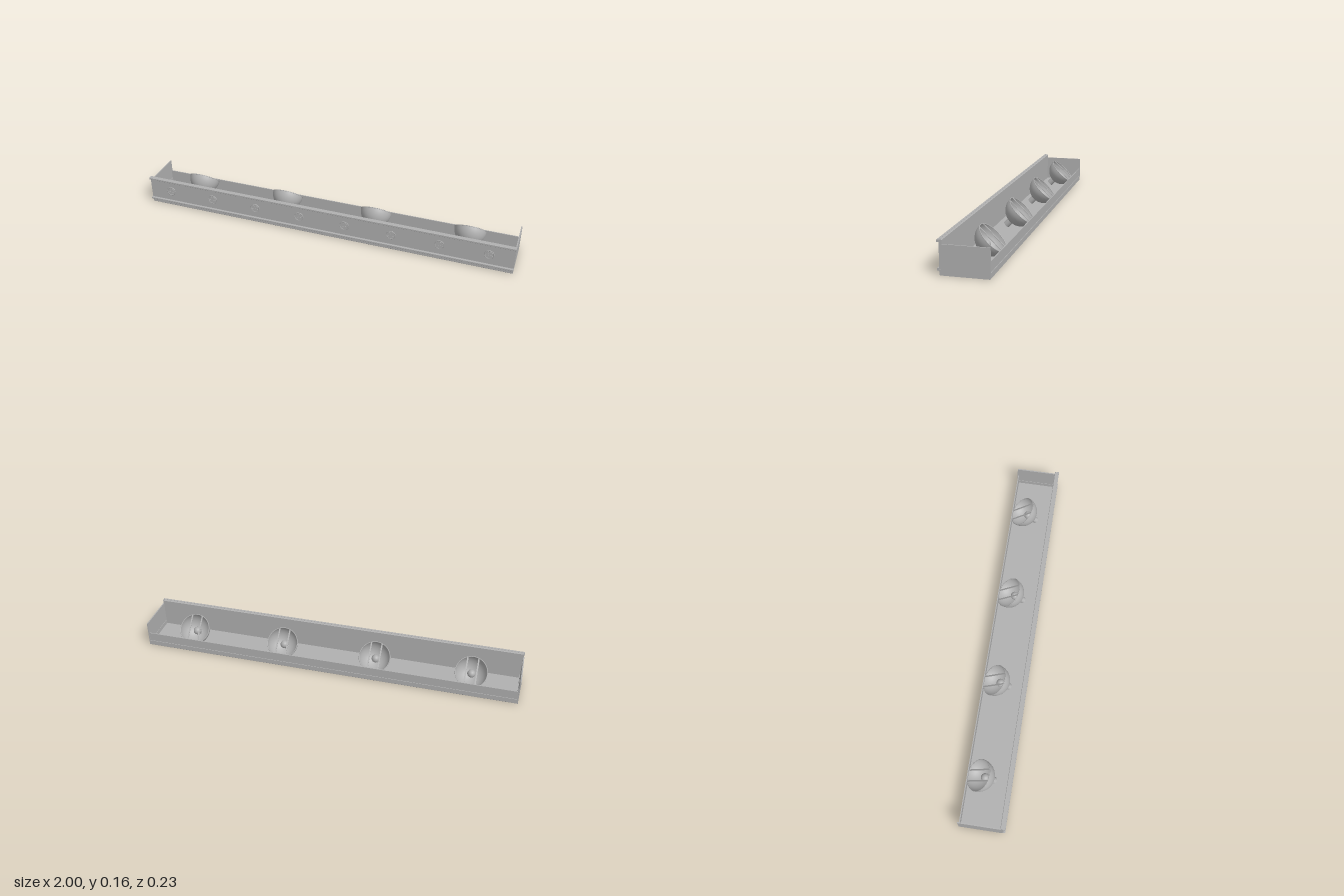
import * as THREE from 'three';

const metal = new THREE.MeshStandardMaterial({ color: 0xb0b0b0 });
metal.name = 'grey metal';
const sheet = new THREE.MeshStandardMaterial({ color: 0xb0b0b0, side: THREE.DoubleSide });
sheet.name = 'grey sheet metal';

function add(parent, name, geometry, x = 0, y = 0, z = 0, material = metal) {
  const mesh = new THREE.Mesh(geometry, material);
  mesh.name = name;
  mesh.position.set(x, y, z);
  parent.add(mesh);
  return mesh;
}

// Extrudes a closed (z, y) profile along x, centred on x = 0
function extrudeAlongX(points, length) {
  const shape = new THREE.Shape(points.map(([z, y]) => new THREE.Vector2(-z, y)));
  const geometry = new THREE.ExtrudeGeometry(shape, { depth: length, bevelEnabled: false });
  return geometry.translate(0, 0, -length / 2).rotateY(Math.PI / 2);
}

// Screw head: a domed rim around four raised quarters that leave a cross slot
function makeScrew() {
  const screw = new THREE.Group();
  screw.name = 'screw';
  const disc = add(screw, 'screwDisc', new THREE.CylinderGeometry(0.025, 0.025, 0.004, 24));
  disc.rotation.x = Math.PI / 2;
  add(screw, 'screwRim', new THREE.TorusGeometry(0.0235, 0.002, 6, 24), 0, 0, 0.002);
  for (let i = 0; i < 4; i++) {
    const middle = (i + 0.5) * Math.PI / 2;
    const wedge = new THREE.Shape([new THREE.Vector2(0, 0)]);
    for (let k = 0; k <= 6; k++) {
      const a = middle - 0.7 + 1.4 * k / 6;
      wedge.lineTo(0.015 * Math.cos(a), 0.015 * Math.sin(a));
    }
    const geometry = new THREE.ExtrudeGeometry(wedge, { depth: 0.003, bevelEnabled: false });
    add(screw, 'screwQuarter', geometry, Math.cos(middle) * 0.004, Math.sin(middle) * 0.004, 0.001);
  }
  return screw;
}

// Lamp: its local +y axis points out of the reflector opening
function makeLamp() {
  const lamp = new THREE.Group();
  lamp.name = 'lamp';
  const R = 0.082;
  const profile = [];
  for (let i = 0; i <= 12; i++) {
    const a = i / 12 * Math.PI / 2;
    profile.push(new THREE.Vector2(R * Math.sin(a), -R * Math.cos(a)));
  }
  add(lamp, 'reflector', new THREE.LatheGeometry(profile, 32), 0, 0, 0, sheet);
  const rim = add(lamp, 'reflectorRim', new THREE.TorusGeometry(R - 0.001, 0.002, 8, 40));
  rim.rotation.x = Math.PI / 2;
  add(lamp, 'socket', new THREE.CylinderGeometry(0.017, 0.017, 0.034, 20), 0, -0.095, 0);
  add(lamp, 'bulbNeck', new THREE.CylinderGeometry(0.012, 0.012, 0.03, 16), 0, -0.066, 0);
  add(lamp, 'bulb', new THREE.SphereGeometry(0.021, 20, 14), 0, -0.045, 0);

  // Flat guard bars across the opening
  for (const x of [-0.028, 0.028]) {
    const length = 2 * Math.sqrt(R * R - x * x);
    add(lamp, 'guardBar', new THREE.BoxGeometry(0.007, 0.003, length - 0.004), x, 0, 0);
  }
  return lamp;
}

export function createModel() {
  const model = new THREE.Group();
  model.name = 'footlightTrough';

  // Bent trough: front panel, floor and low back lip
  add(model, 'trough', extrudeAlongX([
    [0.105, 0], [0.108, 0.003], [0.108, 0.155], [0.106, 0.157], [0.097, 0.157],
    [0.095, 0.155], [0.095, 0.005],
    [-0.109, 0.005], [-0.109, 0.075], [-0.114, 0.075], [-0.114, 0.028],
    [-0.117, 0.028], [-0.117, 0.003], [-0.114, 0],
  ], 1.996));

  // Rounded rails along the top and bottom of the front panel
  for (const y of [0.152, 0.027]) {
    add(model, 'rail', extrudeAlongX([
      [0.106, y - 0.006], [0.116, y - 0.006], [0.118, y - 0.004],
      [0.118, y + 0.004], [0.116, y + 0.006], [0.106, y + 0.006],
    ], 2));
  }

  // End plates
  for (const side of [-1, 1]) {
    add(model, 'endPlate', new THREE.BoxGeometry(0.006, 0.135, 0.218), side * 0.997, 0.0705, -0.008);
    add(model, 'endFoot', new THREE.BoxGeometry(0.008, 0.026, 0.222), side * 0.996, 0.015, -0.006);
  }

  // Row of screws on the front panel
  for (let i = 0; i < 8; i++) {
    const screw = makeScrew();
    screw.position.set(-0.875 + i * 0.25, 0.09, 0.108);
    model.add(screw);
  }

  // Lamps tilted up towards the back
  for (const x of [-0.75, -0.25, 0.25, 0.75]) {
    const lamp = makeLamp();
    lamp.position.set(x, 0.105, -0.054);
    lamp.rotation.x = -Math.PI / 4;
    model.add(lamp);
  }
  return model;
}
